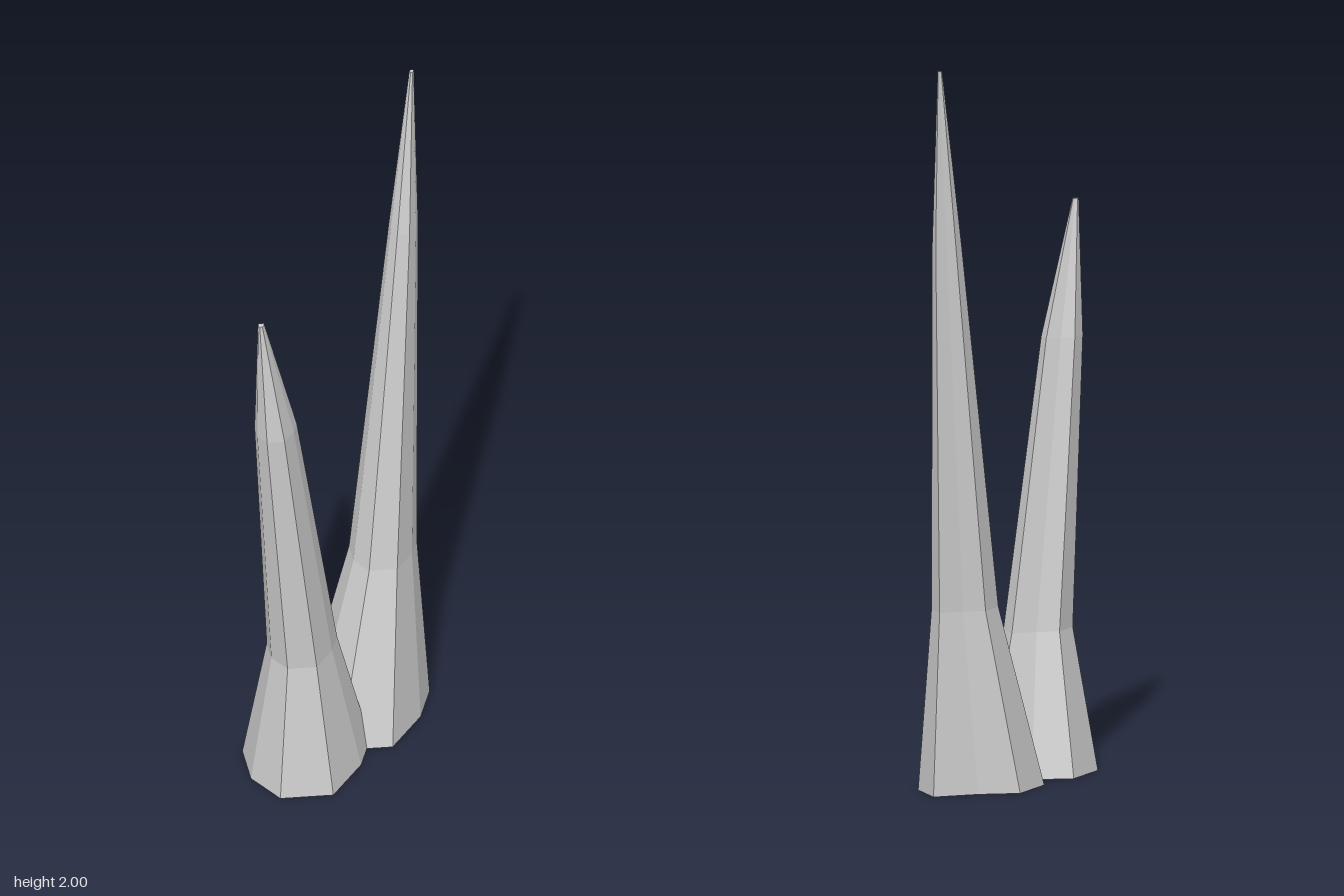
import * as THREE from 'three';

// Irregular nine-sided cross-section [x, z] shared by both spikes
const SECTION = [
  [-0.11, -0.152], [0.035, -0.167], [0.11, -0.08], [0.21, 0], [0.14, 0.094],
  [0.033, 0.143], [-0.122, 0.164], [-0.22, 0.058], [-0.195, -0.06],
];

// Lofts the section through rings of { x, y, z, s } and caps both ends
function spike(name, rings, material) {
  const n = SECTION.length;
  const positions = [];
  const index = [];
  for (const r of rings) {
    for (const [px, pz] of SECTION) positions.push(r.x + px * r.s, r.y, r.z + pz * r.s);
  }
  for (let k = 0; k < rings.length - 1; k++) {
    for (let i = 0; i < n; i++) {
      const a = k * n + i;
      const b = k * n + ((i + 1) % n);
      index.push(b, a, a + n, b, a + n, b + n);
    }
  }
  // End caps as fans around the ring centres
  const last = rings.length - 1;
  const bottom = positions.length / 3;
  const top = bottom + 1;
  for (const r of [rings[0], rings[last]]) positions.push(r.x, r.y, r.z);
  for (let i = 0; i < n; i++) {
    const j = (i + 1) % n;
    index.push(bottom, i, j, top, last * n + j, last * n + i);
  }
  const indexed = new THREE.BufferGeometry();
  indexed.setAttribute('position', new THREE.Float32BufferAttribute(positions, 3));
  indexed.setIndex(index);
  const geometry = indexed.toNonIndexed();
  geometry.computeVertexNormals();
  const mesh = new THREE.Mesh(geometry, material);
  mesh.name = name;
  return mesh;
}

export function createModel() {
  const group = new THREE.Group();
  group.name = 'spikes';
  const material = new THREE.MeshStandardMaterial({ color: 0xcccccc, flatShading: true });

  // Tall spike leaning to the left side
  group.add(spike('tallSpike', [
    { x: 0.13, y: 0, z: 0, s: 1 },
    { x: 0.19, y: 0.5, z: 0.005, s: 0.53 },
    { x: 0.296, y: 1.52, z: -0.01, s: 0.23 },
    { x: 0.35, y: 2, z: -0.026, s: 0.035 },
  ], material));

  // Short spike leaning to the right side
  group.add(spike('shortSpike', [
    { x: -0.14, y: 0, z: 0, s: 1 },
    { x: -0.175, y: 0.39, z: 0.003, s: 0.55 },
    { x: -0.282, y: 1.18, z: -0.01, s: 0.33 },
    { x: -0.332, y: 1.55, z: -0.027, s: 0.05 },
  ], material));

  return group;
}
